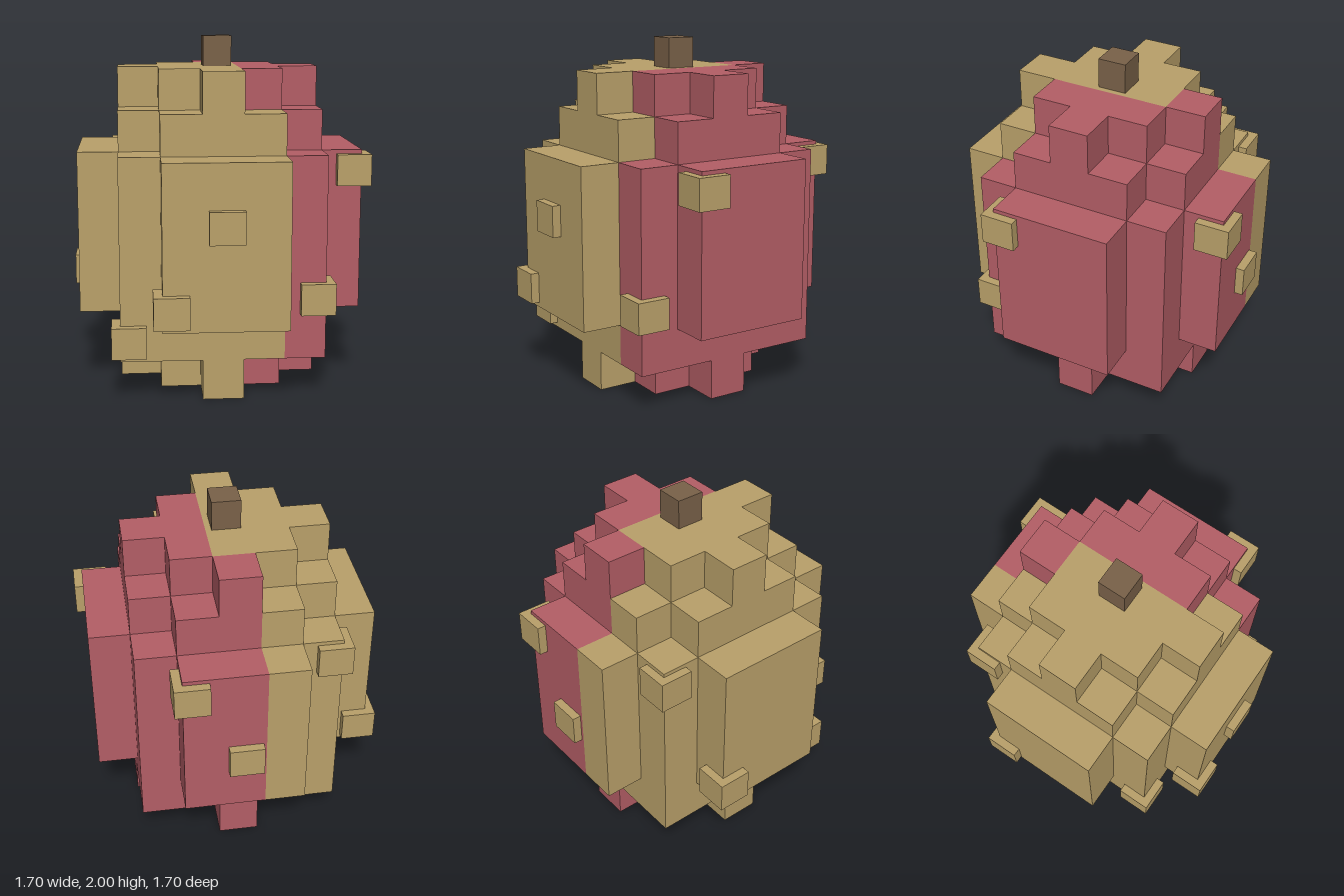
import * as THREE from 'three';
import { mergeGeometries } from 'three/addons/utils/BufferGeometryUtils.js';

const CELL = 1.6 / 7; // edge of one block
const LAYERS = 8;

// Is there a block at column (i, k) of layer j?
function filled(i, j, k) {
  const a = Math.abs(i), b = Math.abs(k);
  if (j < 0 || j >= LAYERS) return false;
  if (j === 0 || j === LAYERS - 1) return a + b <= 2;   // stepped diamond caps
  if (j === 6) return a <= 2 && b <= 2 && a + b < 4;    // shoulder without corners
  if (j === 1) return a <= 2 && b <= 2;                 // square lower band
  return (a <= 2 && b <= 2) || (a <= 1 && b <= 3) || (a <= 3 && b <= 1);
}

// The two colours meet along a stepped diagonal
const isRed = (i, k) => 3 * i - k >= 2;

// One outer face of a block, turned towards direction d
function blockFace(i, j, k, d) {
  const g = new THREE.PlaneGeometry(CELL, CELL);
  g.translate(0, 0, CELL / 2);
  if (d[1]) g.rotateX(-d[1] * Math.PI / 2);
  else g.rotateY(Math.atan2(d[0], d[2]));
  return g.translate(i * CELL, (j + 0.5) * CELL, k * CELL);
}

const DIRECTIONS = [[1, 0, 0], [-1, 0, 0], [0, 1, 0], [0, -1, 0], [0, 0, 1], [0, 0, -1]];

// Outer shell of layers from..to in one colour
function shell(from, to, red) {
  const faces = [];
  for (let j = from; j <= to; j++)
    for (let i = -3; i <= 3; i++)
      for (let k = -3; k <= 3; k++) {
        if (!filled(i, j, k) || isRed(i, k) !== red) continue;
        for (const d of DIRECTIONS)
          if (!filled(i + d[0], j + d[1], k + d[2])) faces.push(blockFace(i, j, k, d));
      }
  return mergeGeometries(faces);
}

function material(name, color) {
  const m = new THREE.MeshStandardMaterial({ color });
  m.name = name;
  return m;
}

export function createModel() {
  const model = new THREE.Group();
  model.name = 'blockFruit';
  const tan = material('tan', 0xbaa16a);
  const red = material('red', 0xb45e66);
  const brown = material('brown', 0x7a6249);

  const add = (name, geometry, mat, x = 0, y = 0, z = 0, parent = model) => {
    const mesh = new THREE.Mesh(geometry, mat);
    mesh.name = name;
    mesh.position.set(x, y, z);
    parent.add(mesh);
  };

  // Body, in horizontal bands
  const bands = [['base', 0, 0], ['lowerBand', 1, 1], ['belly', 2, 5], ['shoulder', 6, 6], ['crown', 7, 7]];
  for (const [name, from, to] of bands) {
    const band = new THREE.Group();
    band.name = name;
    add(name + 'Tan', shell(from, to, false), tan, 0, 0, 0, band);
    add(name + 'Red', shell(from, to, true), red, 0, 0, 0, band);
    model.add(band);
  }

  // Stem
  const top = LAYERS * CELL;
  add('stem', new THREE.BoxGeometry(0.163, 2 - top, 0.163), brown, 0, (2 + top) / 2, 0);

  // Seeds set into the skin
  const seeds = new THREE.Group();
  seeds.name = 'seeds';
  model.add(seeds);
  const seed = new THREE.BoxGeometry(0.194, 0.178, 0.194);
  [
    [0, 1.03, 0.752], [-0.295, 0.574, 0.752], [-0.523, 0.345, 0.523],
    [0.523, 0.574, 0.523], [0.752, 1.26, 0.295], [0.295, 1.26, -0.752],
    [0, 0.803, -0.752], [-0.752, 0.574, -0.295], [-0.523, 1.26, -0.523],
  ].forEach(([x, y, z], n) => add('seed' + (n + 1), seed, tan, x, y, z, seeds));

  return model;
}
